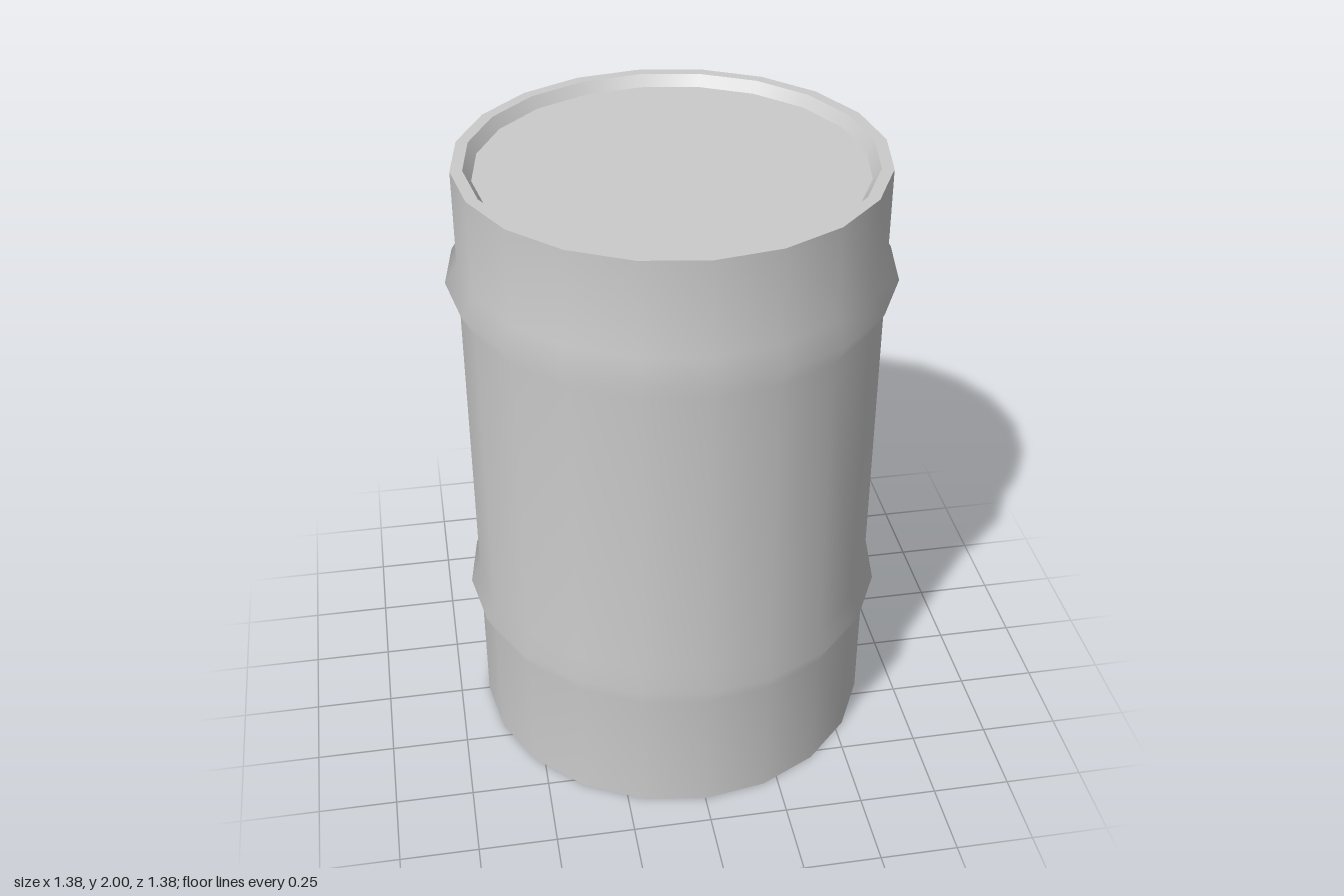
import * as THREE from 'three';

const SIDES = 20;

export function createModel() {
  const group = new THREE.Group();
  const material = new THREE.MeshStandardMaterial({ color: 0xcccccc });

  // Each part is its own lathe: smooth within the part, sharp where parts meet.
  function turned(name, profile) {
    const points = profile.map(([r, y]) => new THREE.Vector2(r, y));
    const mesh = new THREE.Mesh(new THREE.LatheGeometry(points, SIDES), material);
    mesh.name = name;
    group.add(mesh);
  }

  const body = 0.653, rimInner = 0.616, lid = 0.592;
  const top = 2, lidY = 1.965;

  // Side wall with two pointed hoops
  turned('barrelWall', [
    [body, 0],
    [body, 0.424], [0.684, 0.49], [body, 0.557],
    [body, 1.562], [0.692, 1.636], [body, 1.698],
    [body, top],
  ]);

  // Flat rim, sloped recess and sunken lid
  turned('rim', [[body, top], [rimInner, top]]);
  turned('recessWall', [[rimInner, top], [lid, lidY]]);
  turned('lid', [[lid, lidY], [0, lidY]]);

  // Underside
  turned('base', [[0, 0], [body, 0]]);

  return group;
}
